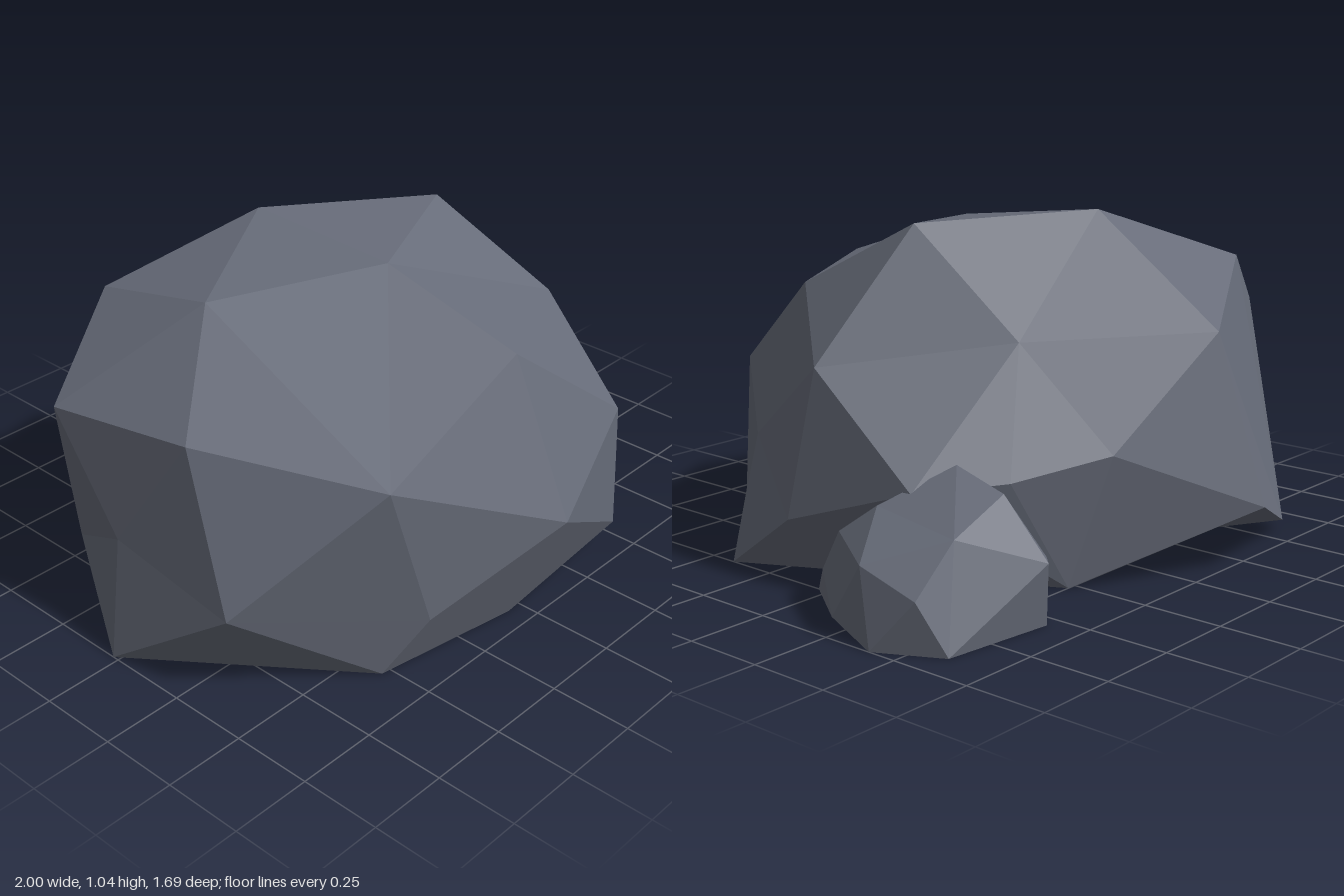
import * as THREE from 'three';
import { ConvexGeometry } from 'three/addons/geometries/ConvexGeometry.js';

const stone = new THREE.MeshStandardMaterial({ color: 0x666b78, flatShading: true });

// Faceted stone: corners are connected as seen from the centre, so hollows survive
function boulder(name, corners, centre) {
  const c = new THREE.Vector3(...centre);
  const points = corners.map(p => new THREE.Vector3(...p));
  const dirs = points.map(p => p.clone().sub(c).normalize());
  const geo = new ConvexGeometry(dirs);
  const pos = geo.attributes.position;
  const v = new THREE.Vector3();
  for (let i = 0; i < pos.count; i++) {
    v.fromBufferAttribute(pos, i);
    let best = 0;
    dirs.forEach((d, k) => { if (d.distanceToSquared(v) < dirs[best].distanceToSquared(v)) best = k; });
    pos.setXYZ(i, ...points[best].toArray());
  }
  geo.computeVertexNormals();
  const mesh = new THREE.Mesh(geo, stone);
  mesh.name = name;
  return mesh;
}

export function createModel() {
  const group = new THREE.Group();
  group.name = 'rocks';

  group.add(boulder('largeRock', [
    // crown
    [0.38, 1.02, 0], [-0.1, 1.04, -0.3], [-0.05, 0.99, 0.18], [-0.53, 0.95, -0.08],
    [-0.55, 0.87, -0.5], [-0.01, 0.84, 0.63], [0.43, 0.81, 0.41], [-0.16, 0.71, -0.7],
    // sides
    [-0.84, 0.71, 0.16], [-0.9, 0.67, -0.33], [-0.56, 0.64, 0.65], [0.72, 0.64, 0.07],
    [0.3, 0.7, -0.33], [0.39, 0.53, 0.72], [-0.01, 0.37, 0.84], [0.62, 0.37, 0.43],
    [0.72, 0.34, -0.3], [0.49, 0.35, -0.46], [0.22, 0.4, -0.61], [-0.92, 0.35, -0.06],
    // lower ring
    [-0.91, 0.27, 0.37], [-0.43, 0.18, 0.69], [0.43, 0.1, 0.71], [0.79, 0.2, 0.12],
    [-0.2, 0.2, -0.85], [-0.82, 0.18, -0.36], [-0.6, 0.03, -0.67],
    // ground
    [-1, 0, -0.02], [-0.53, 0, 0.6], [-0.05, 0, 0.68], [0.75, 0, 0.41],
    [0.58, 0, 0.08], [0.28, 0, -0.5], [-0.28, 0, -0.39], [-0.68, 0, -0.32],
  ], [-0.1, 0.35, 0]));

  group.add(boulder('smallRock', [
    // top
    [0.6, 0.41, -0.36], [0.78, 0.31, -0.23], [0.8, 0.28, -0.53], [0.6, 0.36, -0.53],
    // sides
    [0.96, 0.21, -0.34], [0.95, 0.15, -0.53], [0.58, 0.19, -0.67], [0.81, 0.22, -0.11],
    [0.78, 0.08, -0.01], [0.5, 0.2, -0.1], [0.38, 0.12, -0.5],
    // ground
    [1, 0, -0.41], [0.9, 0, -0.6], [0.55, 0, -0.64], [0.92, 0.02, -0.19],
    [0.75, 0, 0.04], [0.5, 0, -0.1], [0.38, 0, -0.42],
  ], [0.68, 0.14, -0.34]));

  return group;
}
